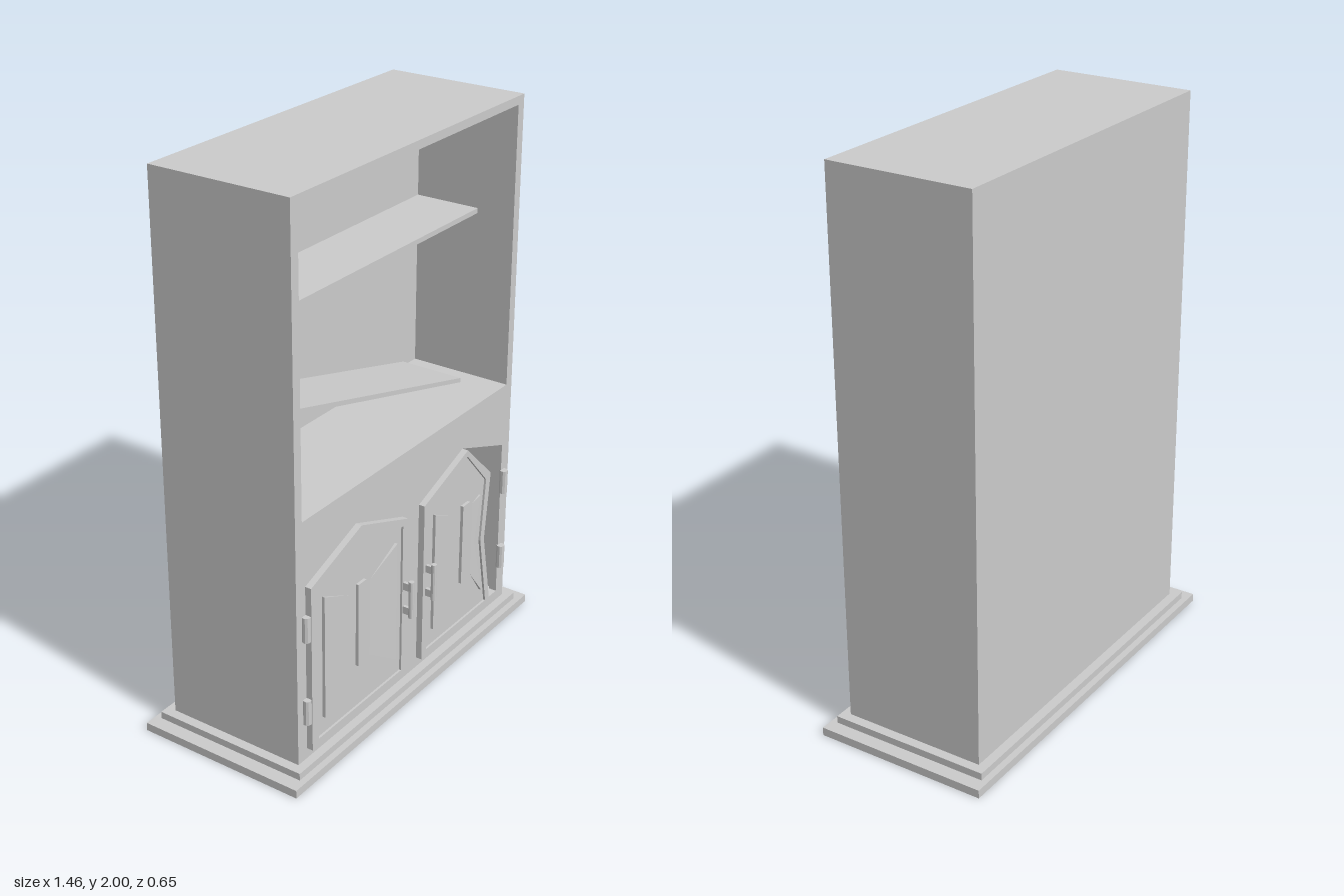
import * as THREE from 'three';

const mat = new THREE.MeshStandardMaterial({ color: 0xcccccc, flatShading: true });
const FRONT = 0.258, BACK = -0.267, W = 0.645, IN = 0.61;

function add(parent, name, geo) {
  const m = new THREE.Mesh(geo, mat);
  m.name = name;
  parent.add(m);
  return m;
}

// Box given by its limits on each axis
function box(parent, name, x0, x1, y0, y1, z0, z1) {
  const m = add(parent, name, new THREE.BoxGeometry(x1 - x0, y1 - y0, z1 - z0));
  m.position.set((x0 + x1) / 2, (y0 + y1) / 2, (z0 + z1) / 2);
  return m;
}

const vecs = (pts) => pts.map(([x, y]) => new THREE.Vector2(x, y));
const mirror = (pts) => pts.map(([x, y]) => [-x, y]).reverse();

// Flat outline pushed from z0 to z1, with optional holes
function slab(pts, z0, z1, holes = []) {
  const s = new THREE.Shape(vecs(pts));
  for (const h of holes) s.holes.push(new THREE.Path(vecs(h)));
  const g = new THREE.ExtrudeGeometry(s, { depth: z1 - z0, bevelEnabled: false });
  return g.translate(0, 0, z0);
}

const rect = (x0, x1, y0, y1) => [[x0, y0], [x1, y0], [x1, y1], [x0, y1]];

// Panel that rises from the inner edge (xLow) to the outer edge (xHigh)
function wedge(pts, xLow, xHigh) {
  const z0 = 0.268, g = slab(pts, z0, 0.285), p = g.attributes.position;
  for (let i = 0; i < p.count; i++) {
    if (p.getZ(i) < z0 + 0.005) continue;
    const t = THREE.MathUtils.clamp((p.getX(i) - xLow) / (xHigh - xLow), 0, 1);
    p.setZ(i, 0.273 + 0.011 * t);
  }
  g.computeVertexNormals();
  return g;
}

// Door outlines on the +x side
const opening = [[0.05, 0.095], [0.597, 0.095], [0.597, 0.712], [0.322, 0.812], [0.05, 0.712]];
const inset = [[0.08, 0.122], [0.563, 0.122], [0.563, 0.695], [0.322, 0.787], [0.08, 0.695]];
const brokenOuter = [[0.05, 0.095], [0.512, 0.095], [0.454, 0.397], [0.484, 0.655], [0.322, 0.812], [0.05, 0.712]];
const brokenInset = [[0.08, 0.122], [0.48, 0.122], [0.429, 0.4], [0.454, 0.64], [0.322, 0.787], [0.08, 0.695]];
const innerPanel = [[0.117, 0.187], [0.264, 0.283], [0.264, 0.577], [0.117, 0.648]];
const outerPanel = [[0.38, 0.283], [0.53, 0.187], [0.53, 0.648], [0.38, 0.577]];
const brokenPanel = [[0.376, 0.283], [0.444, 0.185], [0.395, 0.41], [0.42, 0.592], [0.376, 0.575]];

function door(name, side, outer, inner, farPanel, farX) {
  const g = new THREE.Group();
  g.name = name;
  const f = side > 0 ? (p) => p : mirror;
  add(g, 'doorFrame', slab(f(outer), 0.256, 0.281, [f(inner)]));
  add(g, 'doorPanel', slab(f(inner), 0.256, 0.273));
  add(g, 'innerWedge', wedge(f(innerPanel), side * 0.264, side * 0.117));
  add(g, 'outerWedge', wedge(f(farPanel), side * 0.376, side * farX));
  const bar = box(g, 'centreBar', 0.298, 0.343, 0.285, 0.6, 0.27, 0.284);
  bar.position.x *= side;

  // Pull handle: a round bar on two posts
  const grip = add(g, 'handleGrip', new THREE.CylinderGeometry(0.01, 0.01, 0.142, 10));
  grip.position.set(side * 0.07, 0.415, 0.312);
  for (const y of [0.367, 0.461]) {
    const post = box(g, 'handlePost', -0.006, 0.006, y - 0.014, y + 0.014, 0.275, 0.312);
    post.position.x = side * 0.07;
  }
  return g;
}

export function createModel() {
  const root = new THREE.Group();
  root.name = 'cabinet';

  // Stepped plinth, open underneath
  const hole = rect(-0.635, 0.635, -0.255, 0.255);
  [[0.73, 0.318, 0, 0.03], [0.68, 0.295, 0.03, 0.056]].forEach(([x, z, y0, y1]) => {
    const g = slab(rect(-x, x, -z, z), y0, y1, [hole]).rotateX(-Math.PI / 2);
    add(root, 'plinthStep', g.translate(0, 0, -0.006));
  });

  // Carcass
  const body = new THREE.Group();
  body.name = 'carcass';
  root.add(body);
  box(body, 'sideLeft', IN, W, 0.04, 2, BACK, FRONT);
  box(body, 'sideRight', -W, -IN, 0.04, 2, BACK, FRONT);
  box(body, 'top', -IN, IN, 1.97, 2, BACK, FRONT);
  box(body, 'floor', -IN, IN, 0.04, 0.095, BACK, FRONT - 0.03);
  box(body, 'middleBoard', -IN, IN, 0.91, 0.948, BACK, FRONT - 0.03);
  box(body, 'upperBack', -IN, IN, 0.948, 1.97, BACK, -0.132);
  box(body, 'lowerBack', -IN, IN, 0.095, 0.91, BACK, -0.23);
  add(body, 'lowerFront', slab(rect(-IN, IN, 0.04, 0.948), FRONT - 0.03, FRONT,
    [opening, mirror(opening)]));

  // Shelves: one level, one fallen at its left end
  box(root, 'levelShelf', -IN, IN, 1.563, 1.581, -0.132, 0.114);
  add(root, 'fallenShelf', slab(
    [[-IN, 1.252], [0.5, 0.957], [0.53, 0.949], [0.532, 0.965], [-IN, 1.27]], -0.132, 0.114));

  // Doors: the right one whole, the left one broken away at its hinges
  root.add(door('rightDoor', -1, opening, inset, outerPanel, 0.53));
  root.add(door('leftDoor', 1, brokenOuter, brokenInset, brokenPanel, 0.444));

  // Hinges
  for (const side of [-1, 1]) {
    for (const y of [0.248, 0.563]) {
      const h = add(root, 'hinge', new THREE.CylinderGeometry(0.015, 0.015, 0.092, 10));
      h.position.set(side * 0.604, y, 0.266);
    }
  }
  return root;
}
